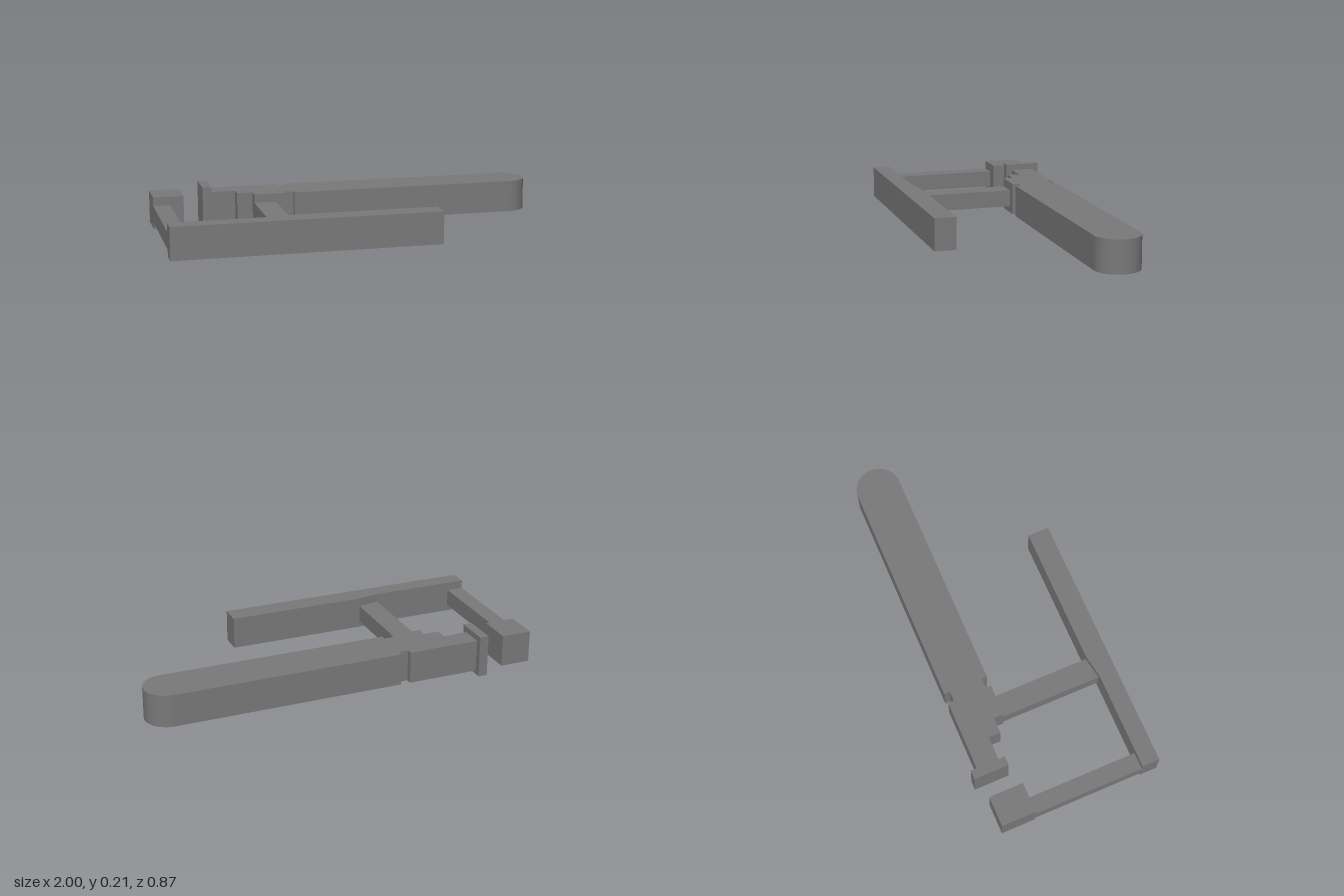
import * as THREE from 'three';
import { toCreasedNormals } from 'three/addons/utils/BufferGeometryUtils.js';

const material = new THREE.MeshStandardMaterial({ color: 0x797979 });

// Box given by its extents on each axis
function box(name, [x0, x1], [y0, y1], [z0, z1]) {
  const mesh = new THREE.Mesh(new THREE.BoxGeometry(x1 - x0, y1 - y0, z1 - z0), material);
  mesh.position.set((x0 + x1) / 2, (y0 + y1) / 2, (z0 + z1) / 2);
  mesh.name = name;
  return mesh;
}

// Plan outline (shape y = -z) raised from y0 to y1
function slab(name, shape, [y0, y1]) {
  const geo = new THREE.ExtrudeGeometry(shape, { depth: y1 - y0, bevelEnabled: false, curveSegments: 32 });
  geo.rotateX(-Math.PI / 2);
  const mesh = new THREE.Mesh(toCreasedNormals(geo, 0.14), material);
  mesh.position.y = y0;
  mesh.name = name;
  return mesh;
}

function outline(points) {
  return new THREE.Shape(points.map(([x, z]) => new THREE.Vector2(x, -z)));
}

export function createModel() {
  const group = new THREE.Group();
  const thick = [0.018, 0.182];
  const thin = [0.051, 0.138];
  const front = -0.171, back = -0.4;
  const radius = (front - back) / 2;
  const endX = 1 - radius;

  // Long arm: stepped neck, a pair of notches and a rounded far end
  const arm = outline([
    [endX, back], [-0.28, back], [-0.28, -0.37], [-0.33, -0.37], [-0.33, back],
    [-0.71, back], [-0.71, -0.285], [-0.57, -0.285], [-0.57, -0.223], [-0.49, -0.223],
    [-0.49, front], [-0.33, front], [-0.33, -0.198], [-0.28, -0.198], [-0.28, front], [endX, front],
  ]);
  arm.absarc(endX, -(front + back) / 2, radius, -Math.PI / 2, Math.PI / 2, false);
  group.add(slab('arm', arm, thick));

  // Flange on the neck, facing the anvil block across the gap
  group.add(box('flange', [-0.743, -0.697], [0, 0.213], [-0.434, -0.254]));
  group.add(box('anvilBlock', [-1, -0.845], thick, [back, -0.223]));

  // Front bar, slightly thinner towards the anvil end
  group.add(slab('frontBar', outline([
    [-1, 0.434], [0.335, 0.434], [0.335, 0.324], [-0.377, 0.324], [-0.49, 0.344], [-1, 0.344],
  ]), thick));

  // Struts joining the front bar to the block and the arm
  group.add(box('endStrut', [-1, -0.914], thin, [-0.223, 0.344]));
  group.add(slab('middleStrut', outline([
    [-0.49, front], [-0.49, 0.344], [-0.377, 0.324], [-0.377, front],
  ]), thin));

  return group;
}
